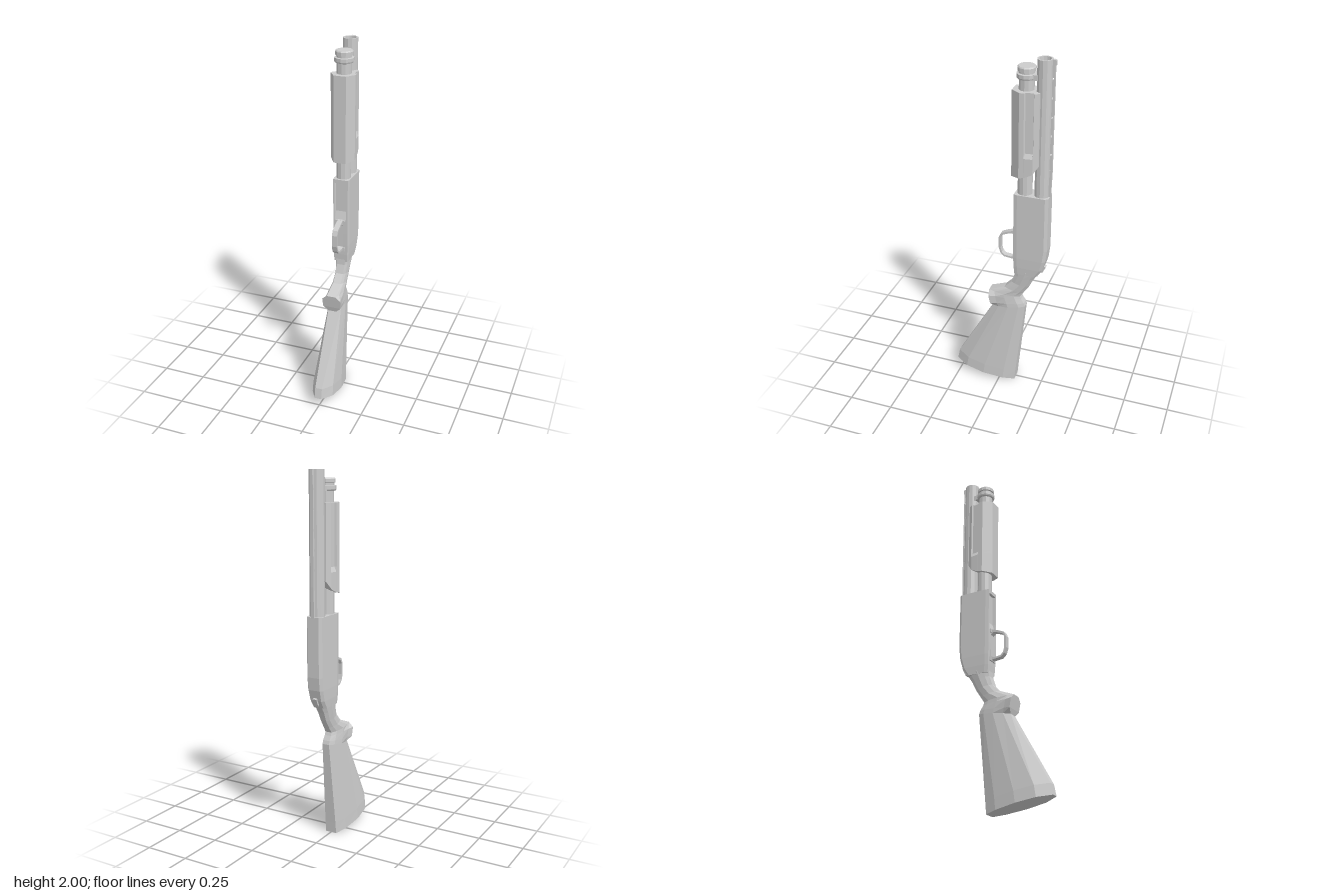
import * as THREE from 'three';

const material = new THREE.MeshStandardMaterial({ color: 0xcccccc, flatShading: true });

function mesh(name, geometry, x = 0, y = 0, z = 0) {
  const m = new THREE.Mesh(geometry, material);
  m.name = name;
  m.position.set(x, y, z);
  return m;
}

// Skin mirrored cross-sections, listed from bottom to top.
// Each section holds [x, y, z] points of the +x half, from front to back.
function loft(halves) {
  const rings = halves.map(h => [...h, ...h.slice().reverse().map(([x, y, z]) => [-x, y, z])]);
  const n = rings[0].length, pos = [];
  const tri = (a, b, c) => pos.push(...a, ...b, ...c);
  for (let i = 0; i < rings.length - 1; i++) {
    for (let j = 0; j < n; j++) {
      const k = (j + 1) % n, lo = rings[i], hi = rings[i + 1];
      tri(lo[j], lo[k], hi[k]);
      tri(lo[j], hi[k], hi[j]);
    }
  }
  const cap = (ring, up) => {
    const c = [0, 1, 2].map(a => ring.reduce((s, p) => s + p[a], 0) / n);
    for (let j = 0; j < n; j++) {
      const k = (j + 1) % n;
      up ? tri(c, ring[j], ring[k]) : tri(c, ring[k], ring[j]);
    }
  };
  cap(rings[0], false);
  cap(rings[rings.length - 1], true);
  const g = new THREE.BufferGeometry();
  g.setAttribute('position', new THREE.Float32BufferAttribute(pos, 3));
  g.computeVertexNormals();
  return g;
}

const lathe = (profile, sides) =>
  new THREE.LatheGeometry(profile.map(p => new THREE.Vector2(...p)), sides);

// Stock and grip: front edge [z, y], back edge [z, y], front half-width, full half-width
function stock() {
  const sections = [
    [0.272, 0.065, -0.09, 0.005, 0.02, 0.073],
    [0.26, 0.125, -0.096, 0.07, 0.02, 0.071],
    [0.045, 0.512, -0.145, 0.54, 0.024, 0.045],
    [0.053, 0.54, -0.138, 0.56, 0.052, 0.045],
    [0.062, 0.59, -0.122, 0.585, 0.054, 0.043],
    [0.066, 0.615, -0.115, 0.602, 0.025, 0.042],
    [-0.025, 0.652, -0.137, 0.635, 0.022, 0.037],
    [-0.066, 0.695, -0.167, 0.68, 0.022, 0.036],
    [-0.083, 0.745, -0.19, 0.73, 0.024, 0.04],
    [-0.086, 0.79, -0.22, 0.775, 0.028, 0.043],
  ];
  return loft(sections.map(([fz, fy, bz, by, wf, w]) => {
    const at = (t, x) => [x, fy + (by - fy) * t, fz + (bz - fz) * t];
    return [at(0, wf), at(0.2, Math.max(w * 0.84, wf * 0.85)), at(0.5, w), at(0.82, w * 0.8), at(1, w * 0.45)];
  }));
}

// Receiver with a chamfered back and a sunken loading port in front
function receiver() {
  const sections = [ // y, front z, back z, half-width, port depth
    [0.765, -0.086, -0.215, 0.041, 0],
    [0.81, -0.083, -0.243, 0.044, 0],
    [0.87, -0.081, -0.26, 0.046, 0],
    [0.94, -0.08, -0.268, 0.046, 0],
    [1.02, -0.08, -0.268, 0.046, 0],
    [1.07, -0.08, -0.268, 0.046, 0.016],
    [1.24, -0.08, -0.268, 0.046, 0.016],
    [1.24, -0.08, -0.268, 0.046, 0],
    [1.26, -0.08, -0.268, 0.046, 0],
  ];
  return loft(sections.map(([y, f, b, w, d]) => [
    [0.031, y, f - d], [0.034, y, f], [w - 0.004, y, f], [w, y, f - 0.02],
    [w, y, b + 0.016], [w - 0.012, y, b],
  ]));
}

// Fore-end with a slanted rear edge and a long groove in each side
function foreEnd() {
  const ring = (height, d) => [
    [0.034, -0.064], [0.068, -0.113], [0.066, -0.138], [0.066 - d, -0.142],
    [0.062 - d, -0.184], [0.061, -0.188], [0.046, -0.212], [0.03, -0.213],
  ].map(([x, z]) => [x, height(z), z]);
  const rear = z => z > -0.175 ? 1.362 + (-0.064 - z) * 0.2 : 1.384 + (-0.175 - z) * 1.5;
  return loft([
    ring(rear, 0), ring(() => 1.485, 0), ring(() => 1.51, 0.012), ring(() => 1.835, 0.012),
  ]);
}

// Trigger guard: a rounded loop in the side plane
function triggerGuard() {
  const trace = (path, pts) => {
    pts.forEach(([z, y], i) => (i ? path.lineTo(z, y) : path.moveTo(z, y)));
    path.closePath();
    return path;
  };
  const shape = trace(new THREE.Shape(), [
    [-0.09, 0.832], [-0.07, 0.842], [-0.018, 0.848], [0.002, 0.868], [0.012, 0.9],
    [0.012, 0.965], [0, 0.992], [-0.035, 1.008], [-0.075, 1.022], [-0.09, 1.03],
  ]);
  shape.holes.push(trace(new THREE.Path(), [
    [-0.079, 0.862], [-0.062, 0.854], [-0.022, 0.858], [-0.006, 0.874], [0.002, 0.902],
    [0.002, 0.962], [-0.008, 0.983], [-0.04, 0.997], [-0.066, 1.003], [-0.079, 0.99],
  ]));
  const g = new THREE.ExtrudeGeometry(shape, { depth: 0.03, bevelEnabled: false });
  return g.translate(0, 0, -0.015).rotateY(-Math.PI / 2);
}

export function createModel() {
  const model = new THREE.Group();
  model.name = 'longGun';

  model.add(
    mesh('stock', stock()),
    mesh('receiver', receiver()),
    mesh('foreEnd', foreEnd()),
    mesh('triggerGuard', triggerGuard()),
  );

  // Flared feet of the guard
  for (const y of [0.846, 1.012]) {
    model.add(mesh('guardFoot', new THREE.BoxGeometry(0.056, 0.02, 0.012), 0, y, -0.08));
  }

  // Hollow barrel
  model.add(mesh('barrel', lathe([
    [0.04, 1.24], [0.04, 2], [0.031, 2], [0.023, 1.9], [0, 1.9],
  ], 12), 0, 0, -0.222));

  // Magazine tube with its ringed cap
  model.add(mesh('magazineTube', lathe([
    [0.04, 1.24], [0.04, 1.89], [0.049, 1.893], [0.052, 1.9], [0.052, 1.918], [0.041, 1.92],
    [0.041, 1.93], [0.048, 1.932], [0.048, 1.95], [0.043, 1.956], [0, 1.956],
  ], 12), 0, 0, -0.13));
  model.add(mesh('barrelBracket', new THREE.BoxGeometry(0.056, 0.028, 0.06), 0, 1.905, -0.185));

  // Raised rib on posts, with a front bead
  const rib = new THREE.Group();
  rib.name = 'rib';
  rib.add(mesh('ribStrip', new THREE.BoxGeometry(0.018, 0.6, 0.006), 0, 1.7, -0.271));
  const ramp = mesh('ribRamp', new THREE.BoxGeometry(0.018, 0.16, 0.012), 0, 1.335, -0.266);
  ramp.rotation.x = -0.03;
  rib.add(ramp);
  for (let i = 0; i < 6; i++) {
    rib.add(mesh('ribPost', new THREE.BoxGeometry(0.014, 0.09, 0.02), 0, 1.45 + i * 0.101, -0.261));
  }
  rib.add(mesh('frontBead', new THREE.BoxGeometry(0.014, 0.025, 0.022), 0, 1.985, -0.268));
  model.add(rib);

  // Sliding safety on the sloping back of the receiver
  const safety = mesh('safety', new THREE.BoxGeometry(0.022, 0.045, 0.016), 0, 0.805, -0.241);
  safety.rotation.x = -0.45;
  model.add(safety);

  return model;
}
